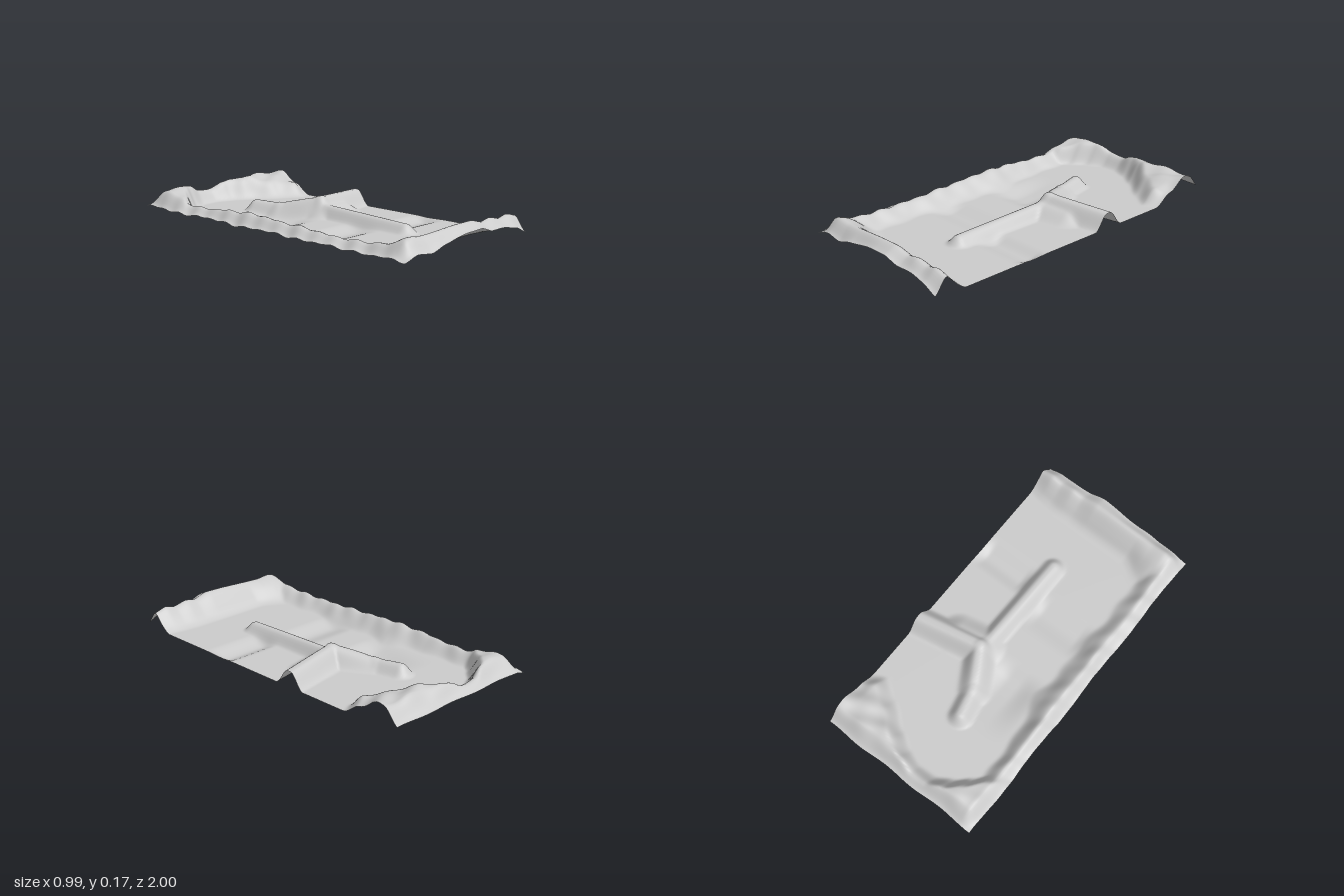
import * as THREE from 'three';

const { smoothstep, lerp, clamp } = THREE.MathUtils;
const FLOOR = 0.035;

// Smoothly interpolate a short list of [position, value] pairs
function profile(points, t) {
  if (t <= points[0][0]) return points[0][1];
  for (let i = 1; i < points.length; i++) {
    const [a, va] = points[i - 1], [b, vb] = points[i];
    if (t <= b) return lerp(va, vb, lerp((t - a) / (b - a), smoothstep(t, a, b), 0.5));
  }
  return points[points.length - 1][1];
}

// Larger of two heights, blended where they meet
function softMax(a, b) {
  const k = 0.02, t = Math.max(k - Math.abs(a - b), 0) / k;
  return Math.max(a, b) + (Math.min(a, b) > 0 ? t * t * k * 0.25 * smoothstep(Math.min(a, b), 0, k) : 0);
}

// Crest heights and outlines of the banks around the valley
const leftCrest = [[-1, 0.13], [-0.6, 0.105], [-0.4, 0.118], [-0.05, 0.13], [0.1, 0.115], [0.3, 0.11], [0.6, 0.1], [1, 0.14]];
const leftFoot = [[-0.7, -0.35], [-0.4, -0.34], [-0.15, -0.28], [0, -0.31], [0.25, -0.31], [0.45, -0.33], [0.75, -0.32], [0.9, -0.24]];
const frontCrest = [[-0.5, 0.13], [-0.38, 0.16], [-0.3, 0.152], [0, 0.167], [0.1, 0.168], [0.2, 0.145], [0.27, 0.158], [0.35, 0.14], [0.42, 0.155], [0.5, 0.135]];
const frontFoot = [[-0.35, 0.68], [-0.2, 0.77], [0.3, 0.77], [0.5, 0.8]];
const frontEdge = [[-0.5, 0.06], [-0.4, 0.085], [-0.3, 0.075], [-0.2, 0.1], [0, 0.13], [0.1, 0.135], [0.2, 0.105], [0.3, 0.105], [0.4, 0.09], [0.5, 0.05]];
const backFoot = [[-0.5, -0.55], [-0.4, -0.64], [-0.32, -0.74], [-0.24, -0.81], [-0.15, -0.86], [-0.05, -0.865], [0.05, -0.83], [0.15, -0.77], [0.3, -0.66], [0.42, -0.59], [0.5, -0.62]];

// Ridges: two ends [x, z, height], foot half-width
const ridges = [
  [[0.09, 0.5, 0.05], [0.1, -0.12, 0.07], 0.075],
  [[0.11, -0.15, 0.108], [0.52, -0.23, 0.09], 0.1],
  [[0.12, -0.12, 0.07], [0.26, -0.15, 0.06], 0.14],
  [[0.11, -0.15, 0.108], [-0.01, -0.36, 0.06], 0.1],
  [[-0.01, -0.36, 0.06], [-0.045, -0.52, 0.062], 0.08],
];

function ridgeHeight([a, b, width], x, z) {
  const dx = b[0] - a[0], dz = b[1] - a[1];
  const t = clamp(((x - a[0]) * dx + (z - a[1]) * dz) / (dx * dx + dz * dz), 0, 1);
  const d = Math.hypot(x - a[0] - t * dx, z - a[1] - t * dz);
  return lerp(a[2], b[2], t) * (1 - smoothstep(d, width * 0.12, width));
}

// Hollow from 0 to 1: soft sides in x, deepest at zMid
function hollow(x, z, x0, x1, soft, z0, zMid, z1) {
  return smoothstep(x, x0, x0 + soft) * (1 - smoothstep(x, x1 - soft, x1)) *
    smoothstep(z, z0, zMid) * (1 - smoothstep(z, zMid, z1));
}

function terrainHeight(x, z) {
  const bumps = 0.006 * Math.sin(31 * x + 9 * z) * Math.sin(23 * z - 7 * x) + 0.004 * Math.sin(47 * z + 20 * x);

  // Banks on the left, front and back
  const foot = profile(leftFoot, z) + 0.008 * Math.sin(26 * z);
  const left = (profile(leftCrest, z) - FLOOR + bumps) * (1 - smoothstep(x, -0.44, foot));
  const toe = profile(frontFoot, x);
  const front = (profile(frontCrest, x) - FLOOR) *
    (0.28 * smoothstep(z, toe, 0.86) + 0.72 * smoothstep(z, toe + 0.04, 0.93));
  const inner = profile(backFoot, x);
  const backTop = lerp(0.157, lerp(0.115, 0.085, smoothstep(x, 0.42, 0.5)), smoothstep(z, -0.88, -0.68)) - FLOOR + bumps;
  const back = backTop * (1 - smoothstep(z, inner - 0.11, inner));
  const parts = [left, front, back, ...ridges.map((r) => ridgeHeight(r, x, z))];
  let h = FLOOR + parts.reduce(softMax, 0);

  // Pools and the shallow basin
  h -= 0.026 * hollow(x, z, -0.36, 0.06, 0.09, 0.1, 0.24, 0.38);
  h -= 0.029 * hollow(x, z, 0.13, 0.51, 0.07, 0.23, 0.33, 0.47);
  h -= 0.034 * hollow(x, z, -0.33, 0.03, 0.15, -0.55, -0.2, -0.05);

  // Outer slopes roll down to the border
  h = lerp(profile(frontEdge, x), h, 1 - smoothstep(z, 0.92, 1.0));
  h = lerp(0.072, h, smoothstep(z, -1.0, -0.9));
  h = lerp(0.062 + bumps, h, smoothstep(x, -0.5, -0.42));
  return Math.max(h, 0);
}

export function createModel() {
  const group = new THREE.Group();
  group.name = 'terrain';

  // Grid sheet raised by the height rule, with a slightly uneven border
  const geometry = new THREE.PlaneGeometry(0.99, 1.99, 90, 180);
  geometry.rotateX(-Math.PI / 2);
  const p = geometry.attributes.position;
  for (let i = 0; i < p.count; i++) {
    const x = p.getX(i), z = p.getZ(i);
    const wobbleX = x < 0 ? 0.004 * Math.sin(11 * z) * smoothstep(-x, 0.4, 0.5) : 0;
    const wobbleZ = 0.005 * Math.sin(17 * x) * smoothstep(Math.abs(z), 0.9, 1);
    p.setXYZ(i, x + wobbleX, terrainHeight(x, z), z + wobbleZ);
  }
  geometry.computeVertexNormals();

  const ground = new THREE.Mesh(geometry, new THREE.MeshStandardMaterial({ color: 0xcccccc, side: THREE.DoubleSide }));
  ground.name = 'groundSurface';
  group.add(ground);
  return group;
}
